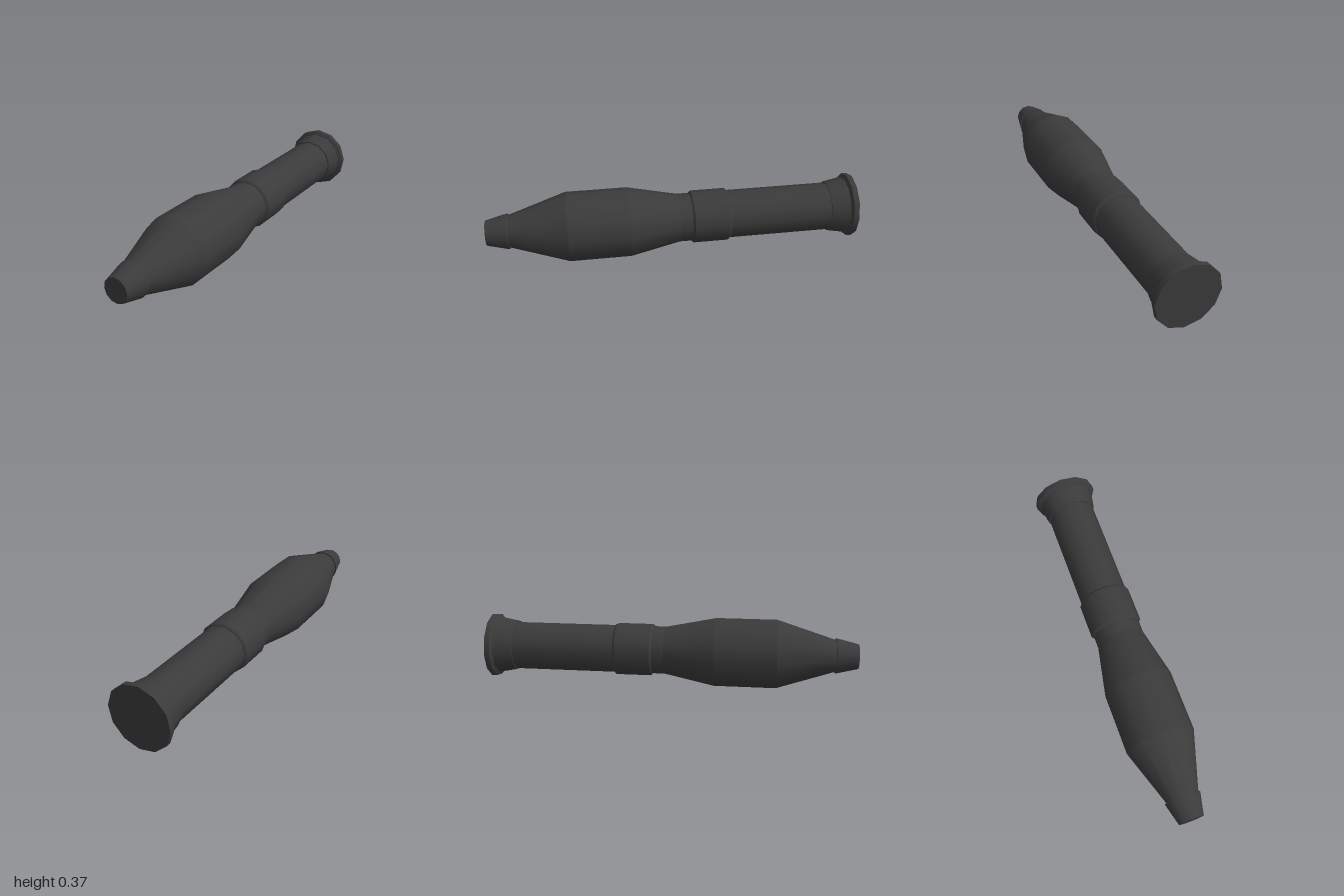
import * as THREE from 'three';
import { mergeGeometries } from 'three/addons/utils/BufferGeometryUtils.js';

const SIDES = 12;

// Solid of revolution along z from [z, radius] points listed front to back:
// smooth around the axis, with a sharp edge at every profile point.
function turned(profile) {
  const pieces = [];
  for (let i = 0; i < profile.length - 1; i++) {
    const [z0, r0] = profile[i];
    const [z1, r1] = profile[i + 1];
    const band = new THREE.CylinderGeometry(r0, r1, z0 - z1, SIDES, 1, true);
    band.rotateX(Math.PI / 2).translate(0, 0, (z0 + z1) / 2);
    pieces.push(band);
  }
  // flat discs closing both ends
  const [zf, rf] = profile[0];
  const [zb, rb] = profile[profile.length - 1];
  pieces.push(new THREE.CircleGeometry(rf, SIDES).translate(0, 0, zf));
  pieces.push(new THREE.CircleGeometry(rb, SIDES).rotateY(Math.PI).translate(0, 0, zb));
  return mergeGeometries(pieces);
}

export function createModel() {
  const darkMetal = new THREE.MeshStandardMaterial({ color: 0x3b3b3b });
  darkMetal.name = 'darkMetal';

  const parts = {
    noseCap: [[1, 0.067], [0.887, 0.095], [0.88, 0.095]],
    warhead: [[0.885, 0.085], [0.57, 0.187], [0.24, 0.187], [-0.03, 0.131]],
    tube: [[-0.03, 0.131], [-0.87, 0.131]],
    collar: [[-0.095, 0.134], [-0.105, 0.143], [-0.295, 0.143], [-0.305, 0.134]],
    tailFlare: [[-0.86, 0.137], [-0.962, 0.156]],
    tailFlange: [[-0.96, 0.157], [-0.972, 0.175], [-1, 0.175]],
  };

  const model = new THREE.Group();
  model.name = 'rocket';
  for (const [name, profile] of Object.entries(parts)) {
    const mesh = new THREE.Mesh(turned(profile), darkMetal);
    mesh.name = name;
    model.add(mesh);
  }

  // slight roll about the long axis, resting on the ground
  model.rotation.z = THREE.MathUtils.degToRad(3.7);
  model.position.y = 0.187;
  const root = new THREE.Group();
  root.name = 'rocketModel';
  root.add(model);
  return root;
}
